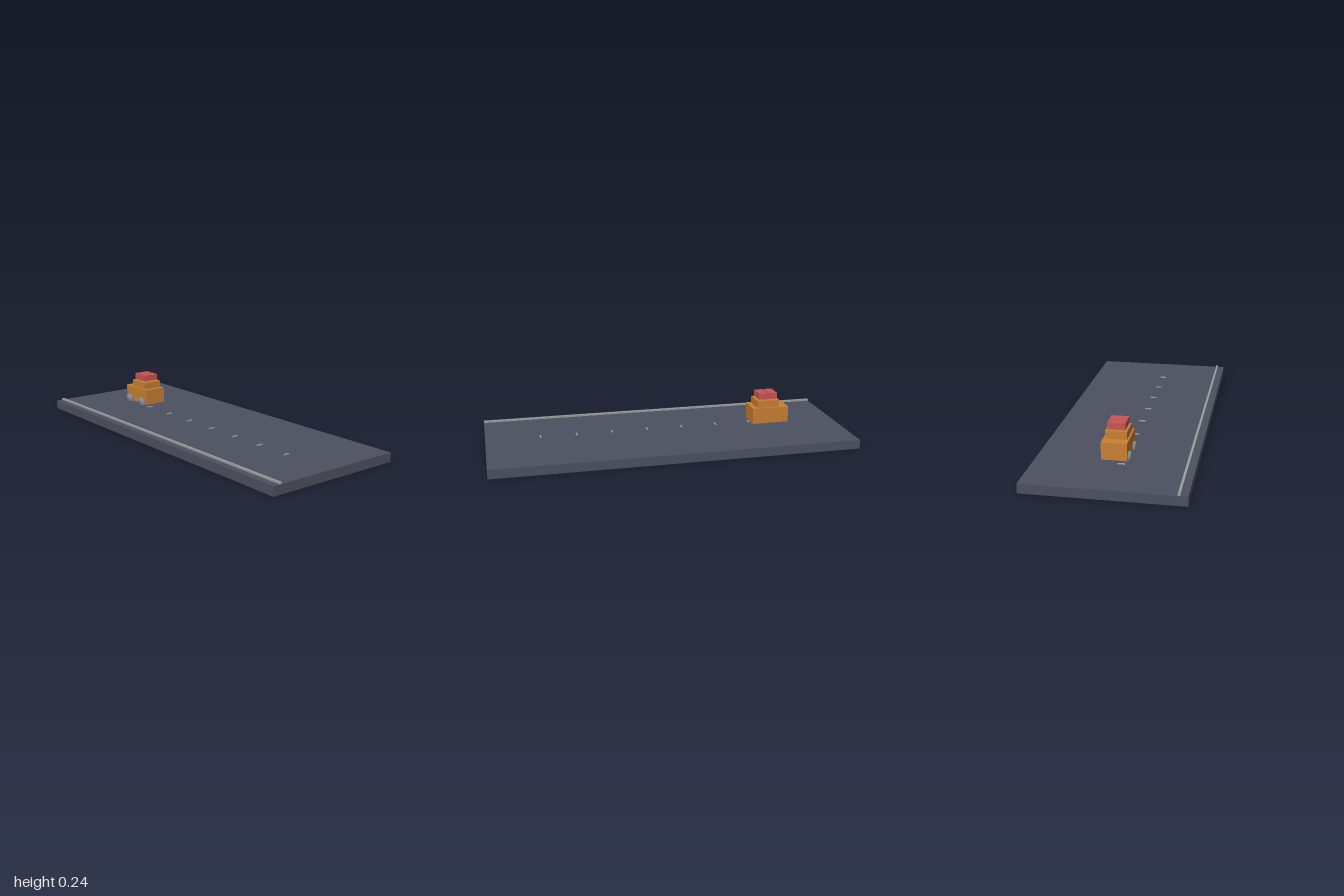
import * as THREE from 'three';
import { mergeVertices } from 'three/addons/utils/BufferGeometryUtils.js';

const material = (name, color) => {
  const m = new THREE.MeshStandardMaterial({ color });
  m.name = name;
  return m;
};

export function createModel() {
  const asphalt = material('asphalt grey', 0x4d5060);
  const orange = material('car orange', 0xc98033);
  const red = material('luggage red', 0xc95454);
  const steel = material('steel grey', 0x8a9098);
  const paleGrey = material('pale grey', 0x9a9f9f);

  const model = new THREE.Group();
  model.name = 'roadScene';

  // Box placed by its centre in x and z and by its underside in y
  const box = (parent, name, mat, [w, h, d], [x, y, z]) => {
    const mesh = new THREE.Mesh(new THREE.BoxGeometry(w, h, d), mat);
    mesh.position.set(x, y + h / 2, z);
    mesh.name = name;
    parent.add(mesh);
  };

  // Road slab, kerb rail and centre markers
  box(model, 'roadSlab', asphalt, [2, 0.05, 0.8], [0, 0, 0]);
  box(model, 'kerbRail', paleGrey, [2, 0.01, 0.012], [0, 0.05, 0.357]);
  for (let i = 0; i < 8; i++) {
    box(model, 'laneMarker', paleGrey, [0.008, 0.005, 0.036], [-0.7 + i * 0.2, 0.05, 0.036]);
  }

  // Car body and cabin
  const car = new THREE.Group();
  car.name = 'car';
  model.add(car);
  box(car, 'carBody', orange, [0.21, 0.09, 0.13], [-0.6, 0.07, 0]);
  box(car, 'carCabin', orange, [0.13, 0.04, 0.11], [-0.587, 0.16, 0]);

  // Two suitcases just above the roof
  for (const x of [-0.616, -0.56]) {
    box(car, 'suitcase', red, [0.05, 0.035, 0.09], [x, 0.205, 0]);
  }

  // Wheels on the near side, softly shaded across the rim
  let wheelShape = new THREE.CylinderGeometry(0.028, 0.028, 0.018, 20).rotateX(Math.PI / 2);
  wheelShape.deleteAttribute('uv');
  wheelShape.deleteAttribute('normal');
  wheelShape = mergeVertices(wheelShape);
  wheelShape.computeVertexNormals();
  for (const x of [-0.667, -0.536]) {
    const wheel = new THREE.Mesh(wheelShape, steel);
    wheel.position.set(x, 0.08, 0.069);
    wheel.name = 'wheel';
    car.add(wheel);
  }

  return model;
}
